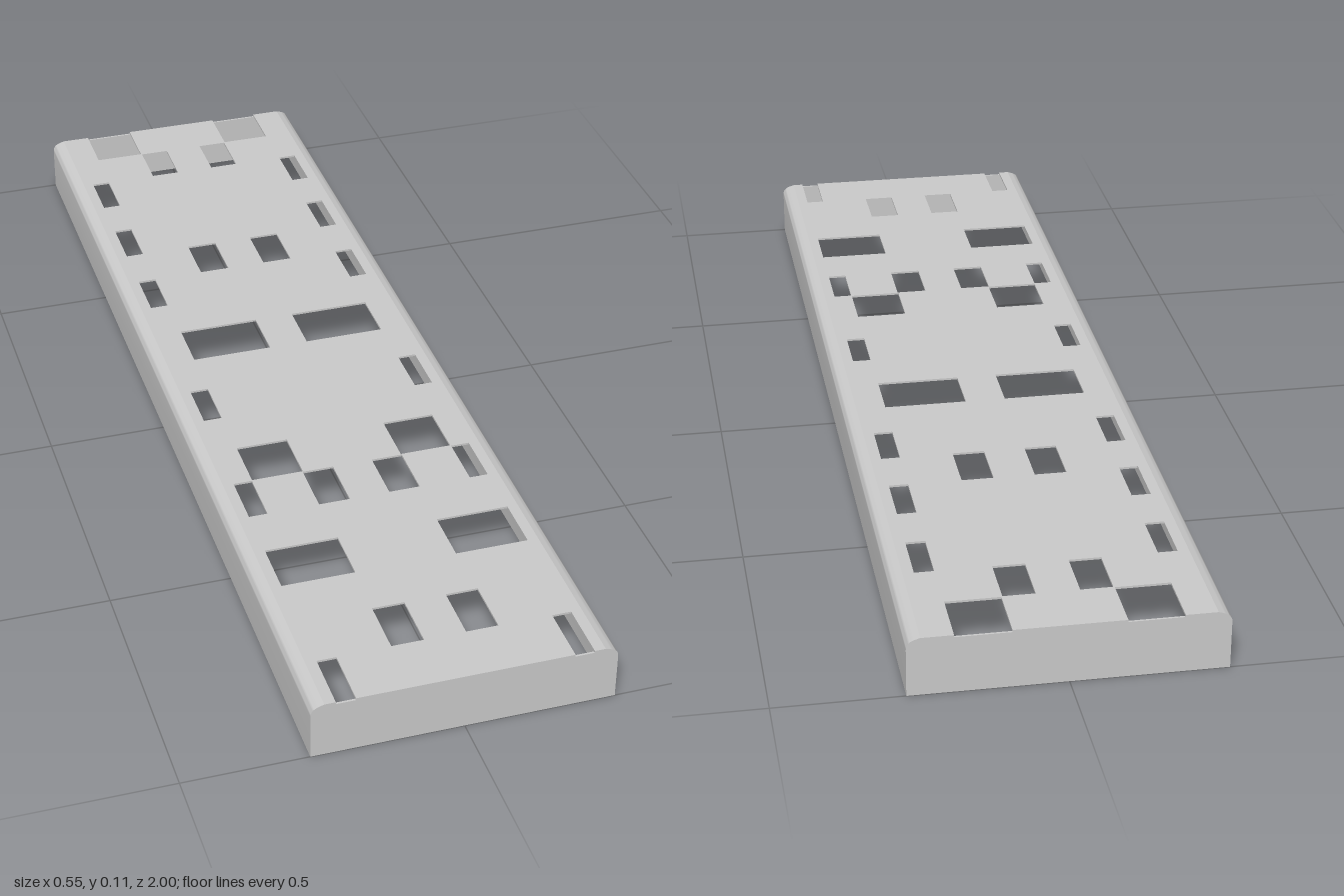
import * as THREE from 'three';
import { toCreasedNormals } from 'three/addons/utils/BufferGeometryUtils.js';

const W = 0.274, H = 0.109, T = 0.004, FLAT = 0.25; // half width, height, sheet thickness, half width of flat deck
const material = new THREE.MeshStandardMaterial({ color: 0xcccccc, side: THREE.DoubleSide });

// Rectangular openings, repeated on both sides: [x inner, x outer, z back, z front]
const openings = [
  [0.038, 0.095, -0.891, -0.79],
  [0.195, 0.23, -0.79, -0.685],
  [0.195, 0.23, -0.582, -0.475],
  [0.038, 0.097, -0.476, -0.37],
  [0.195, 0.23, -0.37, -0.265],
  [0.038, 0.194, -0.162, -0.056],
  [0.195, 0.23, 0.05, 0.153],
  [0.096, 0.194, 0.257, 0.363],
  [0.038, 0.097, 0.365, 0.47],
  [0.195, 0.23, 0.365, 0.47],
  [0.094, 0.23, 0.574, 0.679],
  [0.038, 0.097, 0.783, 0.889],
];

function add(group, name, geometry) {
  const mesh = new THREE.Mesh(geometry, material);
  mesh.name = name;
  group.add(mesh);
}

const toPoints = (list) => list.map(([x, y]) => new THREE.Vector2(x, y));

// Flat perforated deck, with notches through its front and back edges
function deckGeometry() {
  const right = [
    [0.097, -1], [0.097, -0.893], [0.194, -0.893], [0.194, -1],
    [FLAT, -1], [FLAT, 1],
    [0.23, 1], [0.23, 0.89], [0.195, 0.89], [0.195, 1],
  ];
  const left = right.map(([x, z]) => [-x, z]).reverse();
  const shape = new THREE.Shape(toPoints([...right, ...left]));
  for (const [x0, x1, z0, z1] of openings) {
    for (const s of [1, -1]) {
      shape.holes.push(new THREE.Path(toPoints([[s * x0, z0], [s * x0, z1], [s * x1, z1], [s * x1, z0]])));
    }
  }
  const geometry = new THREE.ExtrudeGeometry(shape, { depth: T, bevelEnabled: false });
  return geometry.rotateX(Math.PI / 2).translate(0, H, 0);
}

// Rounded shoulder from the deck edge down into the vertical wall, offset inward by t
function shoulder(t) {
  return new THREE.CubicBezierCurve(
    new THREE.Vector2(FLAT, H - t), new THREE.Vector2(FLAT + 0.014 - t / 2, 0.105 - t),
    new THREE.Vector2(W - t, 0.102 - t), new THREE.Vector2(W - t, 0.088)
  ).getPoints(8);
}

// Side wall with shoulder, swept along the length
function sideGeometry(s) {
  const outline = [
    ...shoulder(0), new THREE.Vector2(W, 0),
    new THREE.Vector2(W - T, 0), ...shoulder(T).reverse(),
  ].map((p) => new THREE.Vector2(s * p.x, p.y));
  const geometry = new THREE.ExtrudeGeometry(new THREE.Shape(outline), { depth: 2, bevelEnabled: false });
  return toCreasedNormals(geometry.translate(0, 0, -1), 0.6);
}

// End plate fitted inside the walls and under the deck
function endGeometry(z) {
  const half = [...shoulder(T), new THREE.Vector2(W - T, 0)];
  const other = half.map((p) => new THREE.Vector2(-p.x, p.y)).reverse();
  const shape = new THREE.Shape([...half, ...other]);
  return new THREE.ExtrudeGeometry(shape, { depth: T, bevelEnabled: false }).translate(0, 0, z);
}

export function createModel() {
  const group = new THREE.Group();
  group.name = 'perforatedTray';
  add(group, 'deck', deckGeometry());
  add(group, 'leftWall', sideGeometry(1));
  add(group, 'rightWall', sideGeometry(-1));
  add(group, 'frontPlate', endGeometry(1 - T));
  add(group, 'backPlate', endGeometry(-1));
  return group;
}
